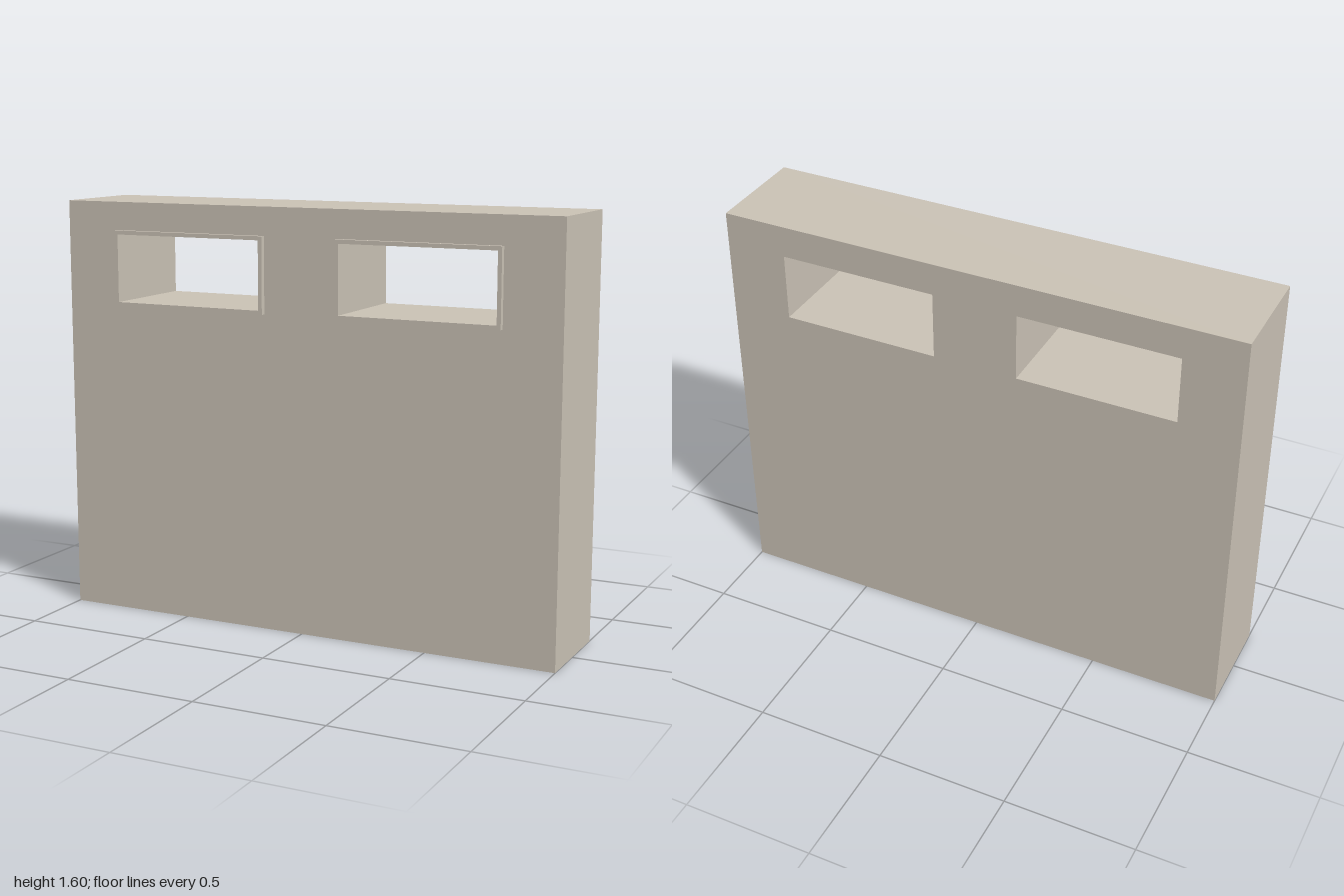
import * as THREE from 'three';

const BACK = -0.21, FACE = 0.19, FRONT = 0.21;
const BORDER = 0.015;
// Window openings: x centre of each, shared size and height
const OPENINGS = [-0.468, 0.462];
const OPEN_W = 0.605, OPEN_H = 0.258, OPEN_Y = 1.349;

// Trace a centred rectangle into a shape or hole
function rect(path, cx, cy, w, h) {
  const x = w / 2, y = h / 2;
  path.moveTo(cx - x, cy - y);
  path.lineTo(cx + x, cy - y);
  path.lineTo(cx + x, cy + y);
  path.lineTo(cx - x, cy + y);
  path.closePath();
  return path;
}

function slab(name, shape, z0, z1, material) {
  const geometry = new THREE.ExtrudeGeometry(shape, { depth: z1 - z0, bevelEnabled: false });
  geometry.translate(0, 0, z0);
  const mesh = new THREE.Mesh(geometry, material);
  mesh.name = name;
  return mesh;
}

export function createModel() {
  const model = new THREE.Group();
  model.name = 'wallWithWindows';

  const plaster = new THREE.MeshStandardMaterial({ color: 0xcbc3b6 });
  plaster.name = 'warm grey plaster';

  // Thick wall pierced by two openings
  const wall = rect(new THREE.Shape(), 0, 0.8, 2, 1.6);
  for (const x of OPENINGS) wall.holes.push(rect(new THREE.Path(), x, OPEN_Y, OPEN_W, OPEN_H));
  model.add(slab('wall', wall, BACK, FACE, plaster));

  // Thin raised frame around each opening, on the front only
  OPENINGS.forEach((x, i) => {
    const frame = rect(new THREE.Shape(), x, OPEN_Y, OPEN_W + 2 * BORDER, OPEN_H + 2 * BORDER);
    frame.holes.push(rect(new THREE.Path(), x, OPEN_Y, OPEN_W, OPEN_H));
    model.add(slab(i ? 'leftWindowFrame' : 'rightWindowFrame', frame, FACE, FRONT, plaster));
  });

  return model;
}
